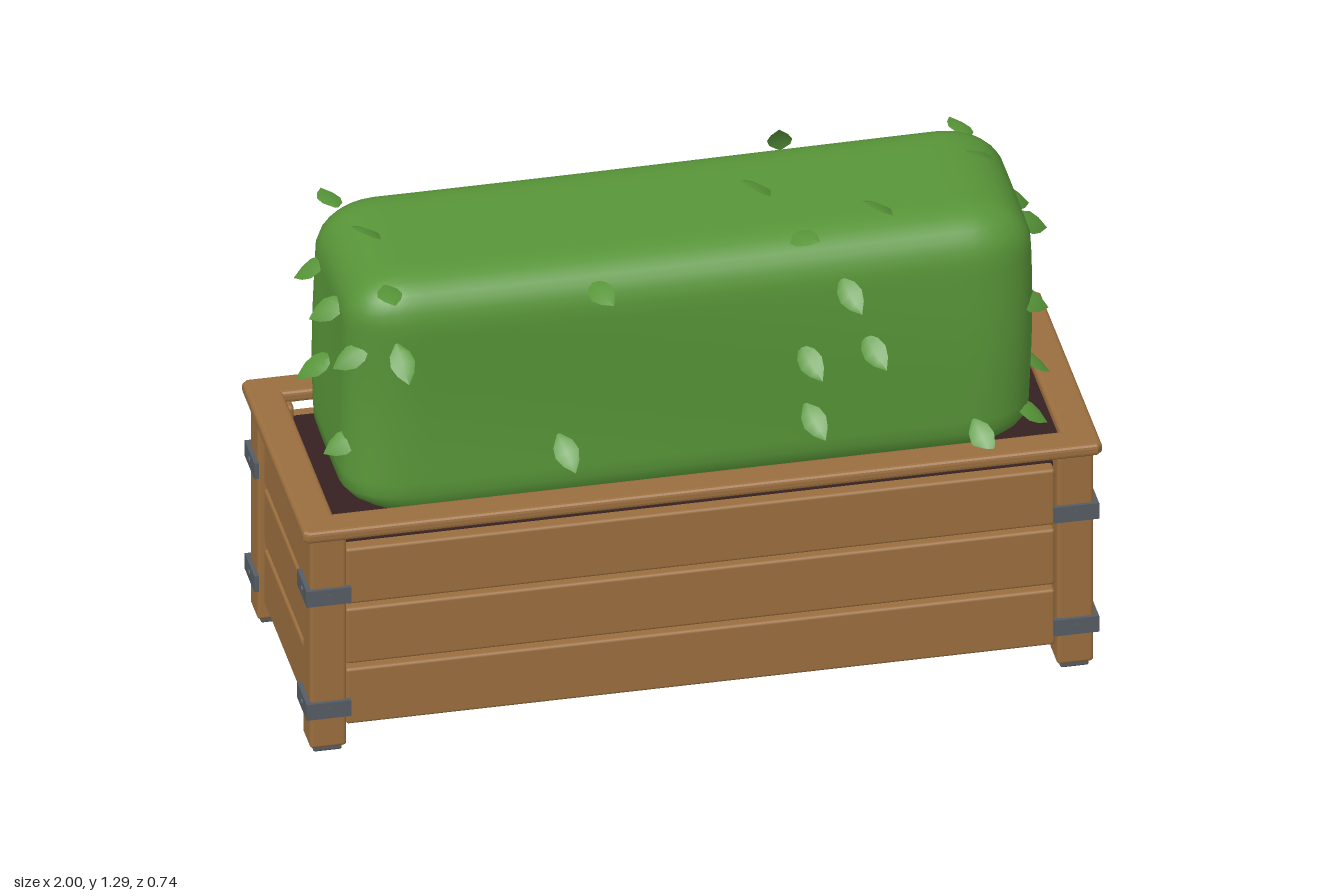
import * as THREE from 'three';
import { mergeVertices } from 'three/addons/utils/BufferGeometryUtils.js';
import { RoundedBoxGeometry } from 'three/addons/geometries/RoundedBoxGeometry.js';

const material = (name, color, side = THREE.FrontSide) => {
  const m = new THREE.MeshStandardMaterial({ color, side });
  m.name = name;
  return m;
};

export function createModel() {
  const model = new THREE.Group();
  model.name = 'hedgePlanter';
  const wood = material('wood', 0x9a6e3e);
  const metal = material('metal', 0x555c64);
  const soilBrown = material('soil', 0x362122);
  const hedgeGreen = material('hedgeGreen', 0x589538);
  const leafGreen = material('leafGreen', 0x589639, THREE.DoubleSide);

  const add = (name, geometry, mat, x, y, z, parent = model) => {
    const mesh = new THREE.Mesh(geometry, mat);
    mesh.name = name;
    mesh.position.set(x, y, z);
    parent.add(mesh);
    return mesh;
  };
  const block = (w, h, d, r = 0.008) => new RoundedBoxGeometry(w, h, d, 2, r);

  // Three planks on each side, with open gaps between them
  for (const y of [0.144, 0.317, 0.489]) {
    for (const s of [-1, 1]) {
      add('longPlank', block(1.775, 0.159, 0.045), wood, 0, y, s * 0.313);
      add('endPlank', block(0.045, 0.159, 0.52), wood, s * 0.943, y, 0);
    }
  }

  // Corner posts with feet, corner straps and bolts
  for (const sx of [-1, 1]) {
    for (const sz of [-1, 1]) {
      const corner = new THREE.Group();
      corner.name = 'cornerPost';
      model.add(corner);
      const px = sx * 0.935, pz = sz * 0.307;
      add('post', block(0.092, 0.605, 0.092, 0.01), wood, px, 0.3175, pz, corner);
      add('foot', block(0.072, 0.03, 0.072, 0.006), metal, px, 0.015, pz, corner);
      for (const y of [0.128, 0.453]) {
        add('frontStrap', new THREE.BoxGeometry(0.112, 0.045, 0.012), metal, sx * 0.936, y, sz * 0.356, corner);
        add('sideStrap', new THREE.BoxGeometry(0.012, 0.045, 0.112), metal, sx * 0.986, y, sz * 0.306, corner);
        const bolt = new THREE.CylinderGeometry(0.009, 0.009, 0.008, 8);
        add('frontBolt', bolt, metal, px, y, sz * 0.361, corner).rotation.x = Math.PI / 2;
        add('sideBolt', bolt, metal, sx * 0.991, y, pz, corner).rotation.z = Math.PI / 2;
      }
    }
  }

  // Top rim: a softly bevelled frame with clipped corners and an opening
  const rectangle = (Type, x, z, clip) => new Type([
    [-x + clip, -z], [x - clip, -z], [x, -z + clip], [x, z - clip],
    [x - clip, z], [-x + clip, z], [-x, z - clip], [-x, -z + clip],
  ].map(([a, b]) => new THREE.Vector2(a, b)));
  const frame = rectangle(THREE.Shape, 0.989, 0.359, 0.006);
  frame.holes.push(rectangle(THREE.Path, 0.921, 0.296, 0.002));
  const rim = new THREE.ExtrudeGeometry(frame, {
    depth: 0.011, bevelThickness: 0.011, bevelSize: 0.011, bevelSegments: 3,
  });
  rim.rotateX(-Math.PI / 2);
  add('rim', rim, wood, 0, 0.626, 0);

  // Soil bed, level with the top planks
  add('soil', new THREE.BoxGeometry(1.86, 0.02, 0.6), soilBrown, 0, 0.56, 0);

  // Clipped hedge: box pulled onto rounded edges, tucked in below, gently wobbling
  const half = new THREE.Vector3(0.862, 0.35, 0.267);
  const radius = new THREE.Vector3(0.16, 0.115, 0.115);
  const core = half.clone().sub(radius);
  const box = new THREE.BoxGeometry(half.x * 2, half.y * 2, half.z * 2, 44, 20, 18);
  box.deleteAttribute('normal');
  box.deleteAttribute('uv');
  const hedge = mergeVertices(box);
  const p = hedge.attributes.position;
  const v = new THREE.Vector3(), c = new THREE.Vector3();
  for (let i = 0; i < p.count; i++) {
    v.fromBufferAttribute(p, i);
    c.copy(v).clamp(core.clone().negate(), core);
    v.sub(c).divide(radius).normalize().multiply(radius).add(c);
    const tuck = 1 - 0.08 * THREE.MathUtils.smoothstep(-v.y, 0.24, 0.35);
    p.setXYZ(i,
      v.x * tuck + 0.005 * Math.sin(v.y * 7 + v.z * 5),
      v.y,
      v.z * tuck + 0.006 * Math.sin(v.y * 8 + v.x * 2));
  }
  hedge.computeVertexNormals();
  add('hedge', hedge, hedgeGreen, 0, 0.9, 0);

  // One leaf: a plane narrowed to a point, folded along its rib and bent over
  const leaf = new THREE.PlaneGeometry(2, 1, 2, 4);
  const halfWidth = [0.004, 0.026, 0.031, 0.021, 0];
  const q = leaf.attributes.position;
  for (let i = 0; i < q.count; i++) {
    const t = q.getY(i) + 0.5, x = q.getX(i) * halfWidth[Math.round(t * 4)];
    q.setXYZ(i, x, (t - 0.5) * 0.105, -0.3 * Math.abs(x) - 0.032 * t * t + 0.01);
  }
  leaf.computeVertexNormals();

  // Loose leaves stand off the surface; those on the walls droop
  const leaves = new THREE.Group();
  leaves.name = 'looseLeaves';
  model.add(leaves);
  let count = 0;
  const addLeaf = (x, y, z, normal) => {
    const onTop = normal.y > 0.75;
    const spin = Math.sin(++count * 12.9) * (onTop ? 3 : 0.6);
    const tangent = onTop ? new THREE.Vector3(1, 0, 0) : new THREE.Vector3(0, -1, 0);
    tangent.applyAxisAngle(normal, spin);
    const tip = normal.clone().multiplyScalar(onTop ? 0.75 : 0.9)
      .addScaledVector(tangent, onTop ? 0.66 : 0.42).normalize();
    const across = new THREE.Vector3().crossVectors(tip, normal).normalize();
    const face = new THREE.Vector3().crossVectors(across, tip);
    const mesh = add('leaf', leaf, leafGreen, x, y, z, leaves);
    mesh.quaternion.setFromRotationMatrix(new THREE.Matrix4().makeBasis(across, tip, face));
  };
  const dir = (x, y, z) => new THREE.Vector3(x, y, z).normalize();

  // Front leaves (x, y)
  for (const [x, y] of [[-0.74, 1.07], [-0.33, 0.76], [0.29, 0.77], [0.28, 0.94],
    [0.44, 0.95], [0.38, 1.12], [0.71, 0.67]]) addLeaf(x, y, 0.308, dir(0, 0, 1));
  // Back leaves (x, y)
  for (const [x, y] of [[-0.73, 1.12], [-0.5, 1.09], [-0.36, 0.78], [-0.26, 0.73],
    [0.78, 1.13]]) addLeaf(x, y, -0.308, dir(0, 0, -1));
  // Leaves on the top and its rounded edges (x, y, z, lean of the normal in z)
  for (const [x, y, z, lean] of [[-0.76, 1.27, 0, 0], [0.22, 1.27, 0, 0], [0.49, 1.27, 0.15, 0],
    [0.78, 1.27, -0.04, 0], [0.32, 1.25, -0.24, -0.5], [0.28, 1.25, 0.22, 0.5],
    [-0.76, 1.24, 0.25, 1], [-0.8, 1.21, -0.27, -1.2], [0.78, 1.21, -0.27, -1.2],
    [-0.24, 1.2, 0.29, 1.6]]) addLeaf(x, y, z, dir(0, 1, lean));
  // Right-hand end leaves (z, y)
  for (const [z, y] of [[0.2, 0.98], [0.05, 1.11], [-0.1, 1.09], [-0.18, 0.8],
    [0.21, 0.67], [0.12, 0.76]]) addLeaf(0.895 - 0.9 * z * z, y, z, dir(1, 0, 1.5 * z));
  // Left-hand end leaves (z, y)
  for (const [z, y] of [[-0.18, 0.78], [-0.13, 1.1], [0, 0.9], [0.1, 1.12],
    [0.18, 0.78], [0.22, 1.05]]) addLeaf(-0.895 + 0.9 * z * z, y, z, dir(-1, 0, 1.5 * z));

  return model;
}
